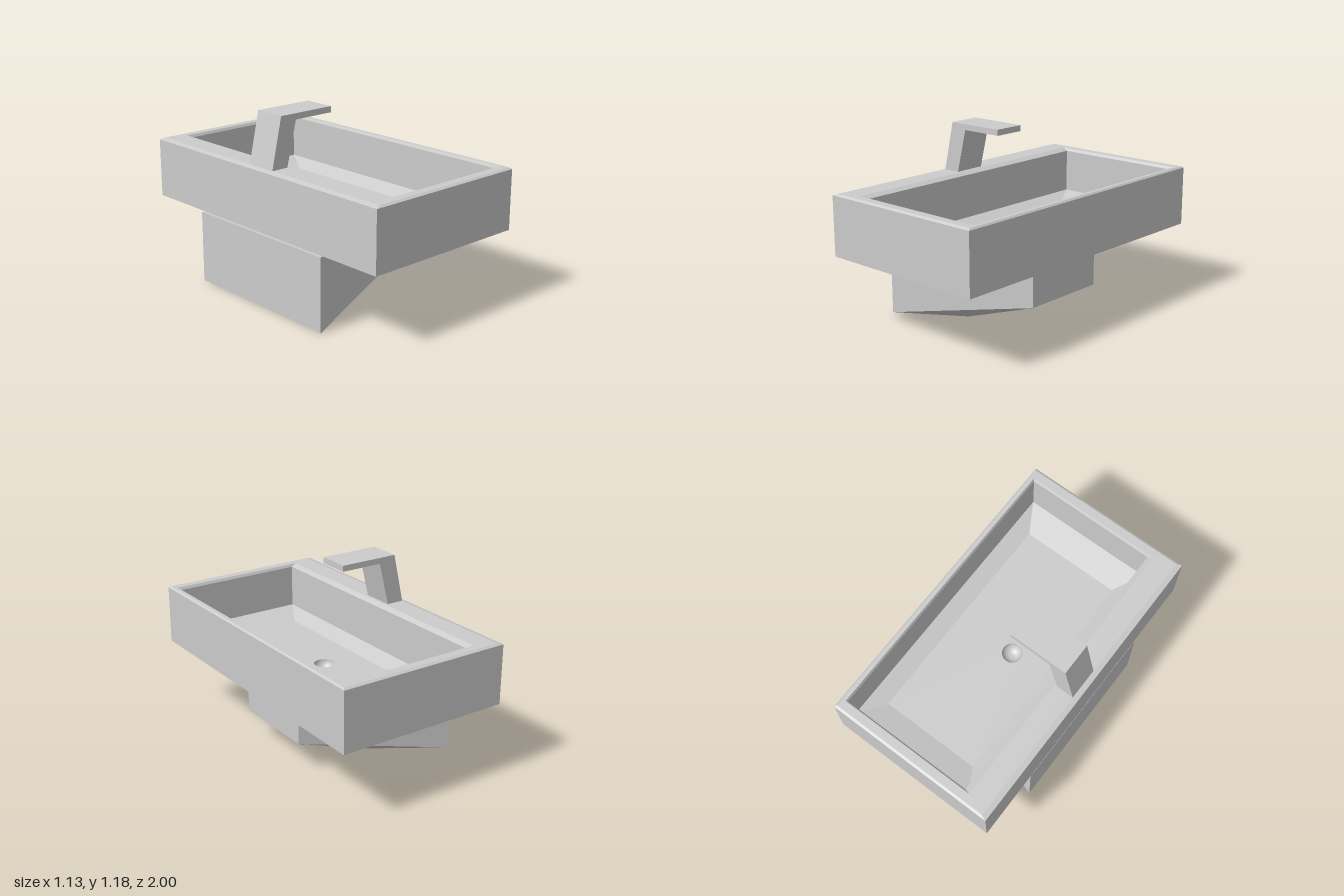
import * as THREE from 'three';

const material = new THREE.MeshStandardMaterial({ color: 0xcccccc, side: THREE.DoubleSide });

// Flat-shaded geometry from convex polygons, corners counter-clockwise from outside
function polygons(faces) {
  const pos = [];
  for (const f of faces) {
    for (let i = 1; i < f.length - 1; i++) pos.push(...f[0], ...f[i], ...f[i + 1]);
  }
  const g = new THREE.BufferGeometry();
  g.setAttribute('position', new THREE.Float32BufferAttribute(pos, 3));
  g.computeVertexNormals();
  return g;
}

// Skin joining rectangular rings given as [xMin, xMax, halfDepth, y]
function loftRectangles(rings) {
  const corners = rings.map(([a, b, z, y]) => [[a, y, z], [b, y, z], [b, y, -z], [a, y, -z]]);
  const faces = [];
  for (let r = 0; r < corners.length - 1; r++) {
    for (let i = 0; i < 4; i++) {
      const j = (i + 1) % 4;
      faces.push([corners[r][i], corners[r][j], corners[r + 1][j], corners[r + 1][i]]);
    }
  }
  return polygons(faces);
}

export function createModel() {
  const model = new THREE.Group();
  const add = (name, geometry) => {
    const mesh = new THREE.Mesh(geometry, material);
    mesh.name = name;
    model.add(mesh);
    return mesh;
  };

  // Basin shell: underside, bevels, outer walls, rim, lip and inner walls
  const floor = { x0: -0.255, x1: 0.415, z: 0.735, y: 0.525 };
  add('basin', loftRectangles([
    [0, 0, 0, 0.455],
    [-0.515, 0.515, 0.915, 0.455],
    [-0.565, 0.565, 1, 0.477],
    [-0.565, 0.565, 1, 0.857],
    [-0.53, 0.555, 0.985, 0.867],
    [-0.395, 0.53, 0.932, 0.867],
    [-0.36, 0.522, 0.922, 0.85],
    [-0.36, 0.522, 0.922, 0.57],
    [floor.x0, floor.x1, floor.z, floor.y],
  ]));

  // Basin floor with the drain opening
  const drainRadius = 0.065;
  const floorShape = new THREE.Shape([
    new THREE.Vector2(floor.x0, -floor.z), new THREE.Vector2(floor.x1, -floor.z),
    new THREE.Vector2(floor.x1, floor.z), new THREE.Vector2(floor.x0, floor.z),
  ]);
  floorShape.holes.push(new THREE.Path().absarc(0, 0, drainRadius, 0, Math.PI * 2, true));
  add('basinFloor', new THREE.ShapeGeometry(floorShape, 16).rotateX(-Math.PI / 2).translate(0, floor.y, 0));

  // Round drain bowl sunk into the floor
  const bowl = new THREE.SphereGeometry(drainRadius, 32, 12, 0, Math.PI * 2, Math.PI / 2, Math.PI / 2);
  add('drain', bowl.scale(1, 0.95, 1).translate(0, floor.y, 0));

  // Pedestal: flares toward the wall, underside sloping up to the free end
  const side = (s) => ({
    topEnd: [0.39, 0.465, 0.29 * s], lowEnd: [0.39, 0.19, 0.29 * s],
    foot: [-0.15, 0, 0.29 * s], lowWall: [-0.565, 0, 0.56 * s], topWall: [-0.565, 0.465, 0.56 * s],
  });
  const f = side(1), b = side(-1);
  const outline = (p) => [p.lowEnd, p.topEnd, p.topWall, p.lowWall, p.foot];
  const back = outline(b);
  add('pedestal', polygons([
    outline(f),
    [back[0], ...back.slice(1).reverse()],
    [f.lowEnd, b.lowEnd, b.topEnd, f.topEnd],
    [f.foot, b.foot, b.lowEnd, f.lowEnd],
    [f.lowWall, b.lowWall, b.foot, f.foot],
    [f.topWall, b.topWall, b.lowWall, f.lowWall],
    [f.topEnd, b.topEnd, b.topWall, f.topWall],
  ]));

  // Faucet: leaning post with a flat spout
  const faucetProfile = [
    [-0.53, 0.867], [-0.415, 0.867], [-0.345, 1.147], [-0.065, 1.147], [-0.065, 1.185], [-0.458, 1.185],
  ].map(([x, y]) => new THREE.Vector2(x, y));
  add('faucet', new THREE.ExtrudeGeometry(new THREE.Shape(faucetProfile), {
    depth: 0.21, bevelEnabled: false,
  }).translate(0, 0, -0.105));

  return model;
}
